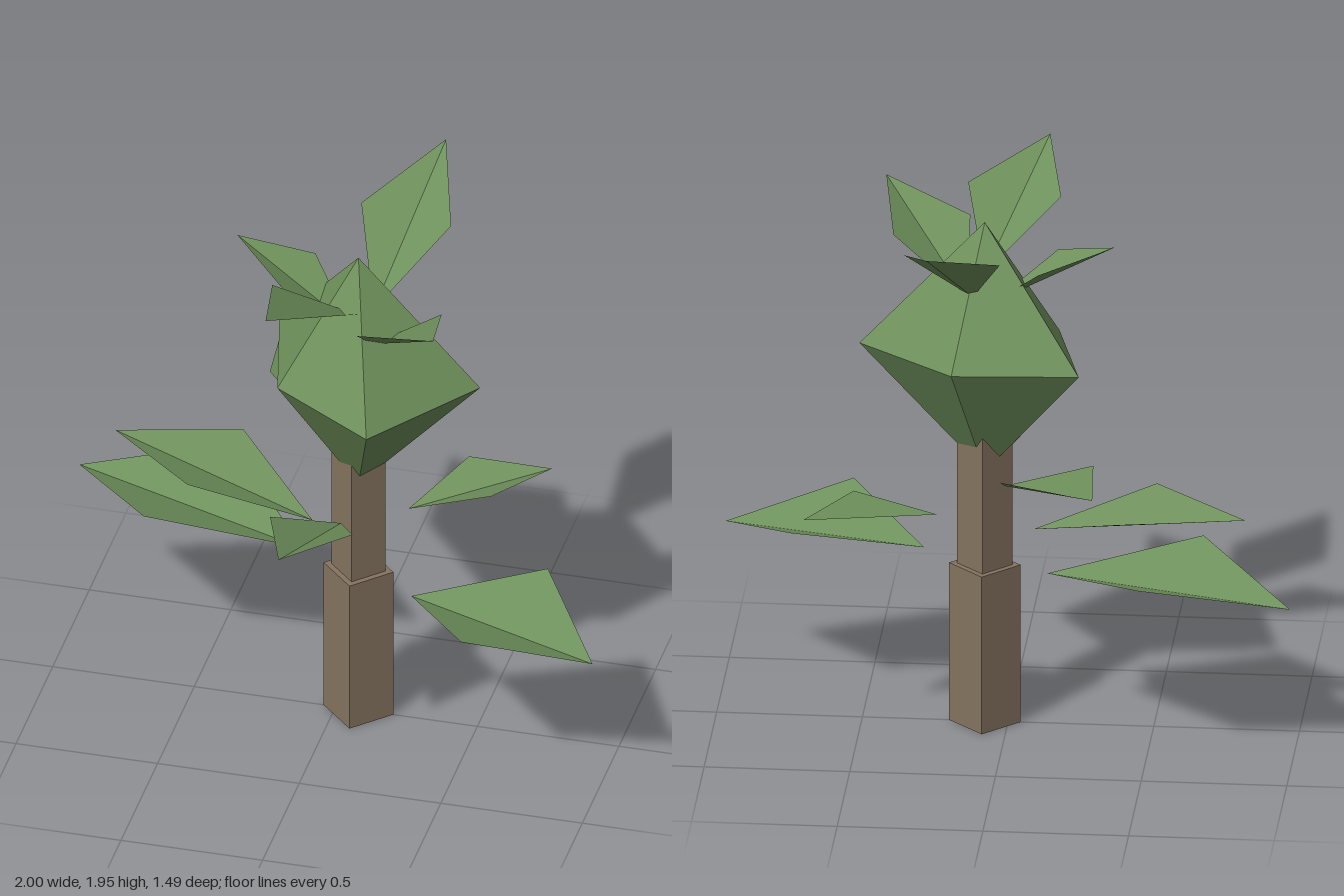
import * as THREE from 'three';

const AXIS_X = 0.08; // the trunk stands slightly off centre

const material = (color) =>
  new THREE.MeshStandardMaterial({ color, flatShading: true, side: THREE.DoubleSide });
const bark = material(0x85745f);
const green = material(0x6f915c);

function add(group, name, geometry, mat) {
  const mesh = new THREE.Mesh(geometry, mat);
  mesh.name = name;
  group.add(mesh);
  return mesh;
}

// Geometry from a list of Vector3 triangle corners
function triangles(points) {
  const geometry = new THREE.BufferGeometry().setFromPoints(points);
  geometry.computeVertexNormals();
  return geometry;
}

// Square post with its corners on the x and z axes
function post(radius, y0, y1) {
  const geometry = new THREE.CylinderGeometry(radius, radius, y1 - y0, 4);
  return geometry.translate(AXIS_X, (y0 + y1) / 2, 0);
}

// Five-sided double pyramid with uneven ring corners
function crownGeometry() {
  const radii = [0.43, 0.435, 0.298, 0.425, 0.295];
  const ring = radii.map((r, i) => {
    const a = (i * Math.PI * 2) / 5;
    return new THREE.Vector3(AXIS_X + r * Math.cos(a), 1.38, r * Math.sin(a));
  });
  const top = new THREE.Vector3(AXIS_X, 1.84, 0);
  const bottom = new THREE.Vector3(AXIS_X, 0.92, 0);
  const points = [];
  ring.forEach((p, i) => {
    const q = ring[(i + 1) % ring.length];
    points.push(top, q, p, bottom, p, q);
  });
  return triangles(points);
}

// Diamond leaf folded along its midrib, the side corners lifted
function leafGeometry(root, tip, halfWidth) {
  const a = new THREE.Vector3(...root);
  const b = new THREE.Vector3(...tip);
  const along = b.clone().sub(a).normalize();
  const across = new THREE.Vector3(-along.z, 0, along.x).normalize();
  const up = across.clone().cross(along).normalize();
  const side = (sign) =>
    a.clone().lerp(b, 0.51)
      .addScaledVector(across, sign * halfWidth)
      .addScaledVector(up, 0.38 * halfWidth);
  return triangles([a, side(1), b, a, b, side(-1)]);
}

// Root, tip and half width of each leaf
const trunkLeaves = [
  [[0.30, 0.58, 0.13], [1.0, 0.56, 0.36], 0.275],
  [[-0.14, 0.58, -0.07], [-1.0, 0.595, -0.365], 0.278],
  [[-0.09, 0.725, -0.03], [-0.834, 0.857, -0.214], 0.2],
  [[0.235, 0.79, -0.085], [0.674, 0.86, -0.348], 0.132],
  [[0.0, 0.93, -0.15], [-0.353, 1.127, -0.743], 0.177],
  [[0.065, 0.87, 0.18], [-0.01, 1.06, 0.743], 0.152],
];
const crownLeaves = [
  [[0.085, 1.635, 0.04], [-0.093, 1.93, 0.6], 0.172],
  [[0.14, 1.53, 0.05], [0.455, 1.83, 0.43], 0.16],
  [[0.115, 1.59, -0.07], [0.225, 1.948, -0.635], 0.17],
  [[0.05, 1.55, -0.01], [-0.372, 1.8, -0.095], 0.126],
];

export function createModel() {
  const model = new THREE.Group();
  model.name = 'plant';

  add(model, 'lowerTrunk', post(0.123, 0, 0.58), bark);
  add(model, 'upperTrunk', post(0.095, 0.58, 1.1), bark);
  add(model, 'crown', crownGeometry(), green);

  trunkLeaves.forEach((leaf, i) => add(model, `trunkLeaf${i + 1}`, leafGeometry(...leaf), green));
  crownLeaves.forEach((leaf, i) => add(model, `crownLeaf${i + 1}`, leafGeometry(...leaf), green));

  return model;
}
